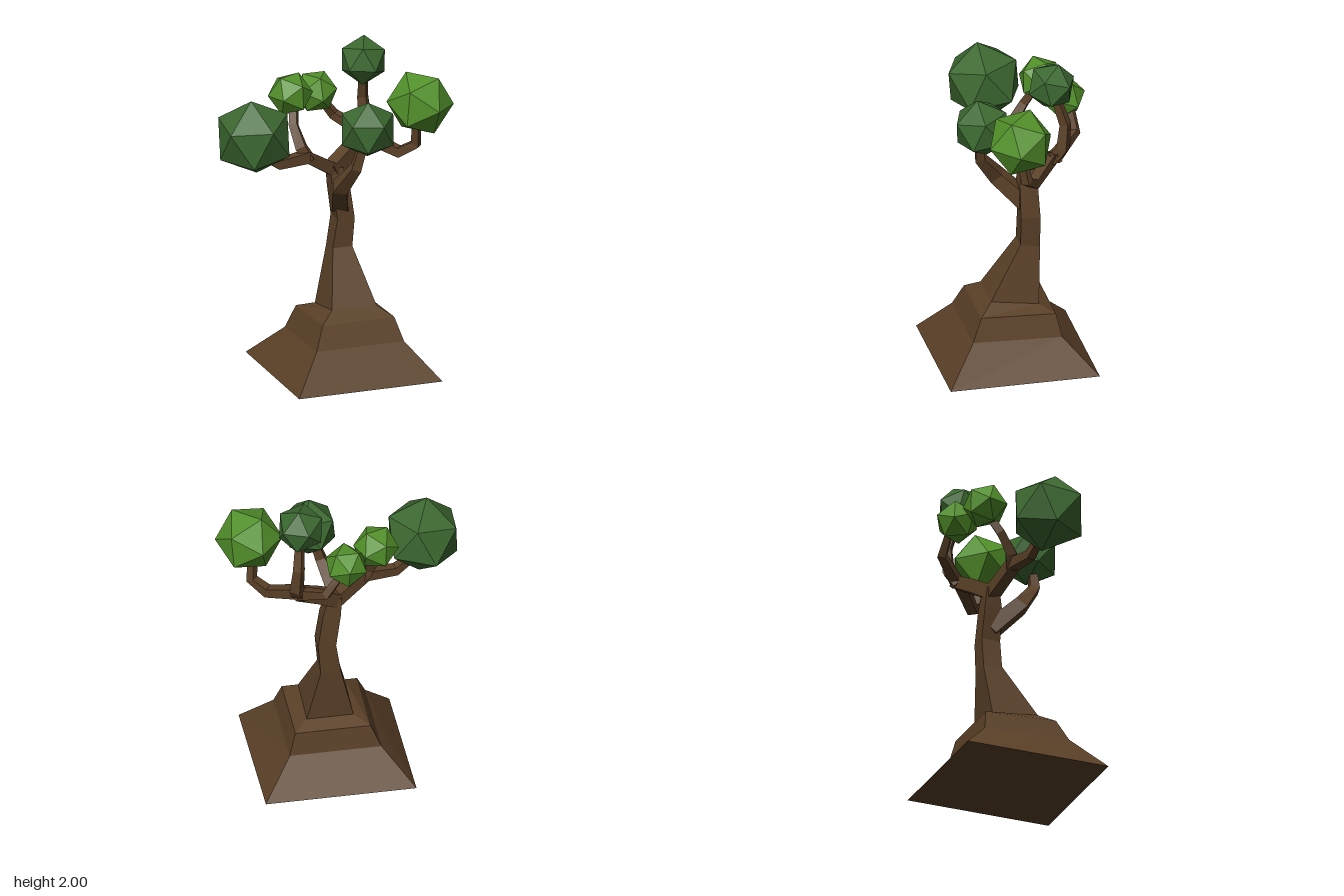
import * as THREE from 'three';

const V = (p) => new THREE.Vector3(p[0], p[1], p[2]);
const mat = (color) => new THREE.MeshStandardMaterial({ color, flatShading: true });
const bark = mat(0x5a4027), lightLeaf = mat(0x52902a), darkLeaf = mat(0x3c6830);

// Closed four-sided solid lofted through rings of corner points
function loft(rings, name) {
  const index = [];
  for (let r = 0; r < rings.length - 1; r++) {
    for (let i = 0; i < 4; i++) {
      const j = (i + 1) % 4, a = r * 4 + i, b = r * 4 + j;
      index.push(a, b, b + 4, a, b + 4, a + 4);
    }
  }
  const e = (rings.length - 1) * 4;
  index.push(0, 3, 2, 0, 2, 1, e, e + 1, e + 2, e, e + 2, e + 3);
  const geo = new THREE.BufferGeometry().setFromPoints(rings.flat());
  geo.setIndex(index);
  const flat = geo.toNonIndexed();
  flat.computeVertexNormals();
  const mesh = new THREE.Mesh(flat, bark);
  mesh.name = name;
  return mesh;
}

// Square limb along [x, y, z, halfWidth] points
function limb(name, path) {
  const pts = path.map(V);
  let u = null;
  const rings = pts.map((p, i) => {
    const before = p.clone().sub(pts[Math.max(i - 1, 0)]).normalize();
    const after = pts[Math.min(i + 1, pts.length - 1)].clone().sub(p).normalize();
    const t = before.add(after).normalize();
    if (!u) u = t.clone().cross(new THREE.Vector3(0, 1, 0));
    u.addScaledVector(t, -u.dot(t)).normalize();
    const v = u.clone().cross(t), h = path[i][3];
    return [[-1, 1], [1, 1], [1, -1], [-1, -1]].map(([a, b]) =>
      p.clone().addScaledVector(u, a * h).addScaledVector(v, b * h));
  });
  return loft(rings, name);
}

// Rotation frame built from one direction and a second one beside it
function frame(a, b) {
  const x = a.clone().normalize();
  const y = b.clone().addScaledVector(x, -b.dot(x)).normalize();
  return new THREE.Matrix4().makeBasis(x, y, x.clone().cross(y));
}

// Leaf ball turned so two neighbouring corners point along a and b
function leafBall(name, material, center, radius, a, b) {
  const g = (1 + Math.sqrt(5)) / 2;
  const from = frame(V([-1, g, 0]), V([1, g, 0]));
  const geo = new THREE.IcosahedronGeometry(radius, 0);
  geo.applyMatrix4(frame(V(a), V(b)).multiply(from.transpose()));
  const mesh = new THREE.Mesh(geo, material);
  mesh.position.set(...center);
  mesh.name = name;
  return mesh;
}

export function createModel() {
  const tree = new THREE.Group();
  tree.name = 'tree';

  // Flared trunk: x min, x max, z back, z front, y back, y front
  const trunk = [
    [-0.40, 0.52, -0.45, 0.47, 0, 0],
    [-0.22, 0.34, -0.26, 0.29, 0.20, 0.22],
    [-0.16, 0.30, -0.23, 0.23, 0.34, 0.36],
    [-0.07, 0.215, -0.145, 0.15, 0.375, 0.42],
    [0.01, 0.135, -0.17, -0.05, 0.72, 0.74],
    [0.04, 0.15, -0.17, -0.05, 0.92, 0.92],
    [0.01, 0.12, -0.16, -0.05, 1.13, 1.12],
    [0.00, 0.085, -0.15, -0.07, 1.25, 1.24],
  ].map(([x0, x1, zb, zf, yb, yf]) =>
    [V([x0, yf, zf]), V([x1, yf, zf]), V([x1, yb, zb]), V([x0, yb, zb])]);
  tree.add(loft(trunk, 'trunk'));

  // Branches
  const branches = {
    leftBranch: [[0.07, 1.20, -0.12, 0.04], [-0.16, 1.345, -0.05, 0.036],
      [-0.35, 1.33, -0.02, 0.028], [-0.47, 1.41, 0.0, 0.022]],
    leftUpperBranch: [[-0.14, 1.32, -0.05, 0.033], [-0.185, 1.40, -0.07, 0.031],
      [-0.205, 1.52, -0.15, 0.025], [-0.18, 1.62, -0.21, 0.022]],
    rightBranch: [[0.02, 1.22, -0.10, 0.045], [0.15, 1.305, -0.16, 0.042],
      [0.30, 1.39, -0.23, 0.037]],
    rightOuterBranch: [[0.27, 1.38, -0.21, 0.035], [0.44, 1.30, -0.06, 0.030],
      [0.525, 1.36, 0.0, 0.026], [0.515, 1.50, 0.03, 0.022]],
    topBranch: [[0.26, 1.36, -0.22, 0.036], [0.30, 1.45, -0.275, 0.033],
      [0.29, 1.60, -0.29, 0.027], [0.275, 1.76, -0.24, 0.022]],
    backBranch: [[0.29, 1.38, -0.22, 0.033], [0.14, 1.47, -0.385, 0.025],
      [0.05, 1.59, -0.375, 0.020]],
    frontBranch: [[0.075, 1.0, -0.10, 0.05], [0.01, 1.165, 0.07, 0.043],
      [0.07, 1.32, 0.185, 0.030], [0.11, 1.45, 0.19, 0.024]],
  };
  for (const [name, path] of Object.entries(branches)) tree.add(limb(name, path));

  // Leaf balls
  tree.add(
    leafBall('leftLeaves', darkLeaf, [-0.525, 1.54, 0.025], 0.245, [0.2, 0.13, 0.03], [0.185, -0.11, -0.157]),
    leafBall('leftUpperLeaves', lightLeaf, [-0.19, 1.685, -0.245], 0.138, [0.061, 0.116, -0.025], [0.135, 0.01, 0.025]),
    leafBall('backLeaves', lightLeaf, [0.01, 1.645, -0.345], 0.133, [0, 0.025, -0.13], [0.114, -0.025, -0.07]),
    leafBall('topLeaves', darkLeaf, [0.265, 1.857, -0.21], 0.151, [0.126, -0.08, 0.03], [0.134, 0.02, -0.08]),
    leafBall('rightLeaves', lightLeaf, [0.535, 1.635, 0.043], 0.205, [0.197, -0.016, 0.043], [0.13, 0.1, -0.126]),
    leafBall('frontLeaves', darkLeaf, [0.143, 1.56, 0.19], 0.182, [0.165, 0.09, 0.015], [0.14, -0.07, -0.115]),
  );
  return tree;
}
